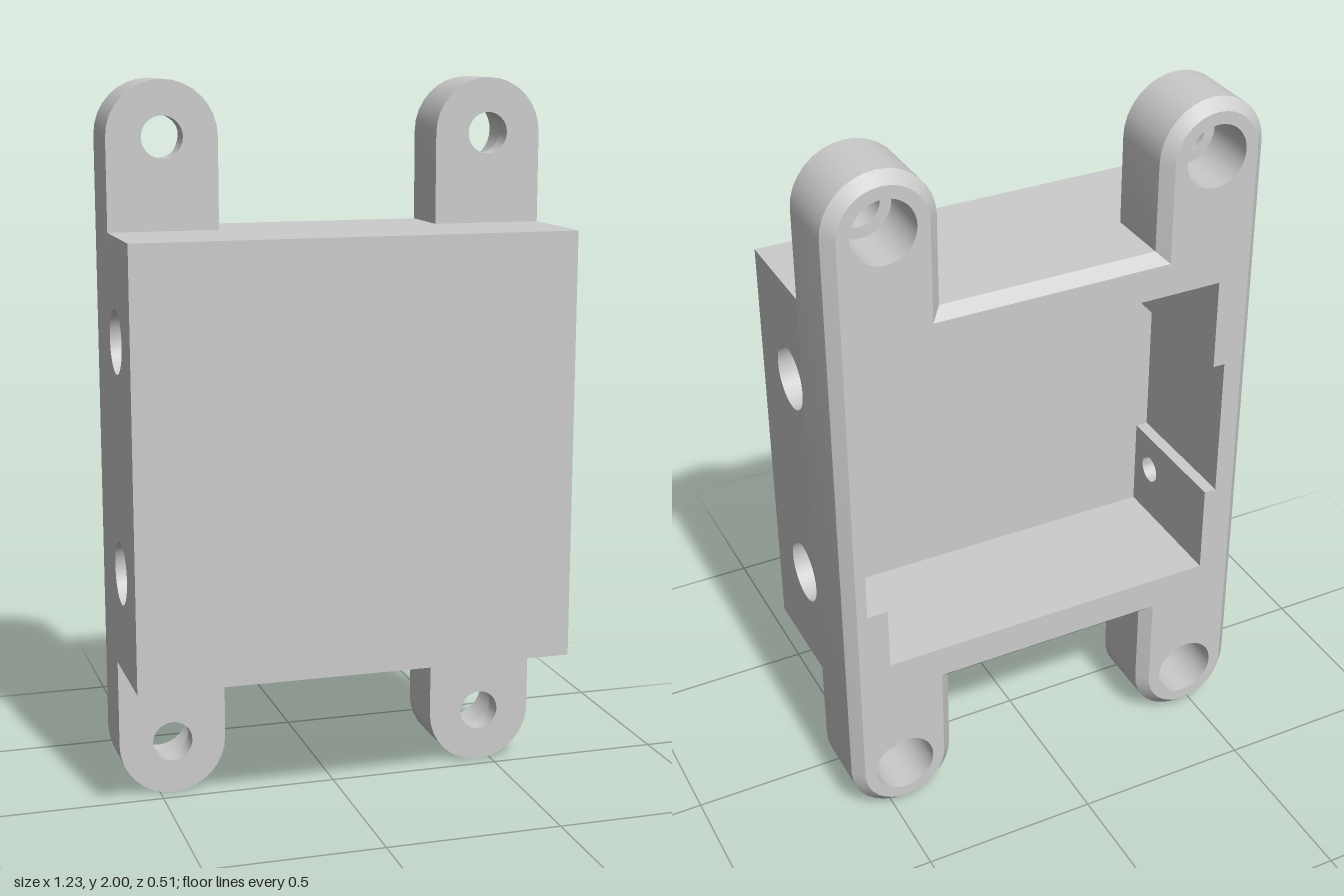
import * as THREE from 'three';
import { toCreasedNormals } from 'three/addons/utils/BufferGeometryUtils.js';

const material = new THREE.MeshStandardMaterial({ color: 0xcccccc, side: THREE.DoubleSide });

// Main sizes, measured from the centre of the housing
const BODY_X = 0.615, BODY_Y = 0.5975;
const BACK = -0.255, LUG_FRONT = -0.04, FRONT = 0.255, CHAMFER = 0.03;
const LUG_X = 0.4625, LUG_Y = 0.8475, LUG_R = 0.1525;
const CAV_X = 0.495, CAV_Y = 0.473, CAV_FLOOR = 0.135;
const POCKET_X = 0.555, POCKET_Y = 0.285, POCKET_FLOOR = -0.045;
const SLOT_X = 0.53, SLOT_Y = 0.21;
const LUG_BORE = 0.088, LUG_HOLE = 0.057;
const SIDE_BORE = 0.0875, SIDE_HOLE = 0.04, SIDE_Y = 0.3175, SIDE_Z = 0.05;

const rect = (x0, x1, y0, y1) => [[x0, y0], [x1, y0], [x1, y1], [x0, y1]];

function arc(cx, cy, r, from, to, n) {
  return Array.from({ length: n + 1 }, (_, i) => {
    const a = from + (to - from) * i / n;
    return [cx + r * Math.cos(a), cy + r * Math.sin(a)];
  });
}
const circle = (cx, cy, r) => arc(cx, cy, r, 0, Math.PI * 2, 32).slice(0, -1);

// Outline of the back plate with its four lugs, inset by c
function plateOutline(c) {
  const r = LUG_R - c, x = LUG_X - r, y = BODY_Y - c, P = Math.PI;
  return [
    ...arc(LUG_X, LUG_Y, r, 0, P, 16), [x, y], [-x, y],
    ...arc(-LUG_X, LUG_Y, r, 0, P, 16),
    ...arc(-LUG_X, -LUG_Y, r, P, 2 * P, 16), [-x, -y], [x, -y],
    ...arc(LUG_X, -LUG_Y, r, P, 2 * P, 16),
  ];
}

export function createModel() {
  const model = new THREE.Group();
  model.name = 'housing';
  const body = new THREE.Group();
  body.name = 'housingBody';
  body.position.y = 1;
  model.add(body);

  function add(name, geometry) {
    const mesh = new THREE.Mesh(geometry, material);
    mesh.name = name;
    body.add(mesh);
    return mesh;
  }

  // Flat panel with holes, in its own x-y plane
  function flat(points, holes) {
    const toVec = ([x, y]) => new THREE.Vector2(x, y);
    const shape = new THREE.Shape(points.map(toVec));
    shape.holes = holes.map(h => new THREE.Path(h.map(toVec)));
    return new THREE.ShapeGeometry(shape);
  }

  // Panel across z, facing dir
  function cap(name, points, holes, z, dir) {
    const turn = list => list.map(([x, y]) => [x * dir, y]);
    const g = flat(turn(points), holes.map(turn));
    if (dir < 0) g.rotateY(Math.PI);
    add(name, g.translate(0, 0, z));
  }

  // Panel across x, facing dir, with round holes at the given heights
  function sidePanel(name, x, dir, z0, z1, y0, y1, holeYs, r) {
    const g = flat(rect(-dir * z0, -dir * z1, y0, y1), holeYs.map(y => circle(-dir * SIDE_Z, y, r)));
    add(name, g.rotateY(dir * Math.PI / 2).translate(x, 0, 0));
  }

  // Wall between two matching paths at two depths
  function wall(name, a, za, b, zb, closed = true) {
    const pos = [];
    const n = closed ? a.length : a.length - 1;
    for (let i = 0; i < n; i++) {
      const j = (i + 1) % a.length;
      pos.push(...a[i], za, ...a[j], za, ...b[j], zb, ...a[i], za, ...b[j], zb, ...b[i], zb);
    }
    const g = new THREE.BufferGeometry();
    g.setAttribute('position', new THREE.Float32BufferAttribute(pos, 3));
    add(name, toCreasedNormals(g, 0.5));
  }

  // Stepped bore: wide from 'from' to 'step', narrow on to 'to'
  function bore(R, r, from, step, to) {
    const profile = [[R, from], [R, step], [r, step], [r, to]].map(p => new THREE.Vector2(...p));
    return toCreasedNormals(new THREE.LatheGeometry(profile, 32), 0.5);
  }

  // Back plate: rim face, chamfer and outer wall
  const outer = plateOutline(0), inset = plateOutline(CHAMFER);
  const opening = [
    [CAV_X, -CAV_Y], [CAV_X, -POCKET_Y], [POCKET_X, -POCKET_Y], [POCKET_X, POCKET_Y],
    [CAV_X, POCKET_Y], [CAV_X, CAV_Y], [-CAV_X, CAV_Y], [-CAV_X, SLOT_Y],
    [-SLOT_X, SLOT_Y], [-SLOT_X, -SLOT_Y], [-CAV_X, -SLOT_Y], [-CAV_X, -CAV_Y],
  ];
  const lugs = [[1, 1], [-1, 1], [-1, -1], [1, -1]];
  const lugBores = lugs.map(([sx, sy]) => circle(sx * LUG_X, sy * LUG_Y, LUG_BORE));
  cap('backRim', inset, [opening, ...lugBores], BACK, -1);
  wall('backChamfer', inset, BACK, outer, BACK + CHAMFER);
  wall('plateWall', outer, BACK + CHAMFER, outer, LUG_FRONT);

  // Lug fronts and their stepped screw holes
  for (const [sx, sy] of lugs) {
    const x = sx * LUG_X, y = sy * LUG_Y, foot = sy * BODY_Y;
    const outline = [
      ...arc(x, y, LUG_R, 0, sy * Math.PI, 16), [x - LUG_R, foot], [x + LUG_R, foot],
    ];
    cap('lugFront', outline, [circle(x, y, LUG_HOLE)], LUG_FRONT, 1);
    const hole = bore(LUG_BORE, LUG_HOLE, BACK, LUG_FRONT - 0.06, LUG_FRONT);
    add('lugHole', hole.rotateX(Math.PI / 2)).position.set(x, y, 0);
  }

  // Front box
  cap('frontFace', rect(-BODY_X, BODY_X, -BODY_Y, BODY_Y), [], FRONT, 1);
  for (const s of [1, -1]) {
    const edge = [[s * BODY_X, s * BODY_Y], [-s * BODY_X, s * BODY_Y]];
    wall(s > 0 ? 'boxTop' : 'boxBottom', edge, LUG_FRONT, edge, FRONT, false);
    sidePanel('boxSide', s * BODY_X, s, LUG_FRONT, FRONT, -BODY_Y, BODY_Y, [SIDE_Y, -SIDE_Y], SIDE_BORE);
    // Stepped holes from the side into the cavity
    for (const y of [SIDE_Y, -SIDE_Y]) {
      const hole = bore(SIDE_BORE, SIDE_HOLE, BODY_X, BODY_X - 0.06, CAV_X);
      add('sideHole', hole.rotateZ(-s * Math.PI / 2)).position.set(0, y, SIDE_Z);
    }
  }

  // Cavity: outer part with the left pocket
  const inward = [...opening].reverse();
  wall('cavityMouth', inward, BACK, inward, POCKET_FLOOR);
  cap('pocketFloor', rect(CAV_X, POCKET_X, -POCKET_Y, POCKET_Y), [], POCKET_FLOOR, -1);

  // Cavity: inner part with the full-depth right slot
  for (const s of [1, -1]) {
    const edge = [[-s * CAV_X, s * CAV_Y], [s * CAV_X, s * CAV_Y]];
    wall(s > 0 ? 'cavityTop' : 'cavityBottom', edge, POCKET_FLOOR, edge, CAV_FLOOR, false);
    sidePanel('cavityRight', -CAV_X, 1, POCKET_FLOOR, CAV_FLOOR, s * SLOT_Y, s * CAV_Y, [s * SIDE_Y], SIDE_HOLE);
  }
  sidePanel('cavityLeft', CAV_X, -1, POCKET_FLOOR, CAV_FLOOR, -CAV_Y, CAV_Y, [SIDE_Y, -SIDE_Y], SIDE_HOLE);
  const slot = [[-CAV_X, -SLOT_Y], [-SLOT_X, -SLOT_Y], [-SLOT_X, SLOT_Y], [-CAV_X, SLOT_Y]];
  wall('slotWall', slot, POCKET_FLOOR, slot, CAV_FLOOR, false);
  cap('cavityFloor', rect(-CAV_X, CAV_X, -CAV_Y, CAV_Y), [], CAV_FLOOR, -1);
  cap('slotFloor', rect(-SLOT_X, -CAV_X, -SLOT_Y, SLOT_Y), [], CAV_FLOOR, -1);

  return model;
}
